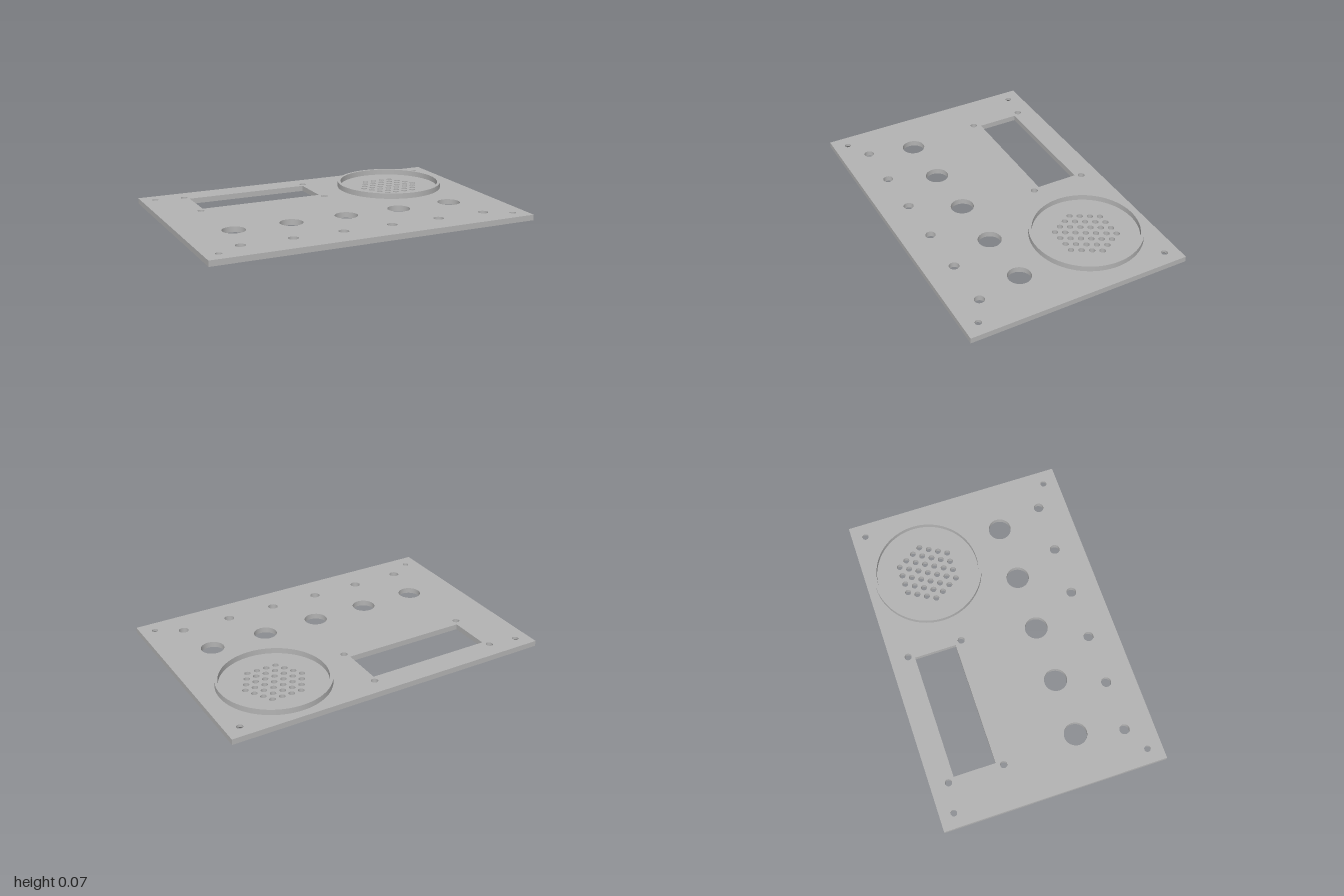
import * as THREE from 'three';
import { mergeGeometries } from 'three/addons/utils/BufferGeometryUtils.js';

const HALF_X = 1, HALF_Z = 0.677, THICK = 0.034, RING_TOP = 0.068;
const SPEAKER = { x: 0.558, z: -0.294 };
const WINDOW = { x0: -0.714, x1: 0.05, z0: -0.53, z1: -0.275 };

// All round holes: position, radius and optional countersink radius underneath
function listHoles() {
  const holes = [];
  const add = (x, z, r, sink = r) => holes.push({ x, z, r, sink });
  // corner mounting holes
  for (const x of [-0.914, 0.914]) for (const z of [-0.592, 0.588]) add(x, z, 0.019, 0.036);
  // display screw holes
  for (const x of [-0.738, 0.068]) for (const z of [-0.568, -0.234]) add(x, z, 0.021);
  // knob row and switch row
  for (let i = 0; i < 5; i++) add((i - 2) * 0.349, 0.222, 0.069);
  for (let i = 0; i < 6; i++) add((i - 2.5) * 0.305, 0.503, 0.03);
  // hexagonal speaker grille
  for (let row = -3; row <= 3; row++) {
    const n = 7 - Math.abs(row);
    for (let i = 0; i < n; i++) {
      add(SPEAKER.x + (i - (n - 1) / 2) * 0.0594, SPEAKER.z + row * 0.0513, 0.018);
    }
  }
  return holes;
}

// Flat face of the panel; up = true for the top, false for the underside
function panelFace(holes, up) {
  const s = up ? -1 : 1;
  const rect = (p, x0, x1, z0, z1) => {
    p.moveTo(x0, s * z0);
    p.lineTo(x1, s * z0);
    p.lineTo(x1, s * z1);
    p.lineTo(x0, s * z1);
    p.closePath();
    return p;
  };
  const shape = rect(new THREE.Shape(), -HALF_X, HALF_X, -HALF_Z, HALF_Z);
  shape.holes.push(rect(new THREE.Path(), WINDOW.x0, WINDOW.x1, WINDOW.z0, WINDOW.z1));
  for (const h of holes) {
    shape.holes.push(new THREE.Path().absarc(h.x, s * h.z, up ? h.r : h.sink, 0, Math.PI * 2));
  }
  return new THREE.ShapeGeometry(shape, 16).rotateX(s * Math.PI / 2).translate(0, up ? THICK : 0, 0);
}

// Four upright walls round a rectangle, facing outwards or inwards
function rectWalls(x0, x1, z0, z1, outward) {
  const w = x1 - x0, d = z1 - z0, cx = (x0 + x1) / 2, cz = (z0 + z1) / 2;
  return [0, 1, 2, 3].map((i) => {
    const along = i % 2 ? d : w, away = i % 2 ? w : d;
    const wall = new THREE.PlaneGeometry(along, THICK);
    if (!outward) wall.rotateY(Math.PI);
    return wall.translate(0, THICK / 2, away / 2).rotateY(i * Math.PI / 2).translate(cx, 0, cz);
  });
}

const turned = (points, x, z, segments) =>
  new THREE.LatheGeometry(points.map(([r, y]) => new THREE.Vector2(r, y)), segments).translate(x, 0, z);

export function createModel() {
  const group = new THREE.Group();
  const grey = new THREE.MeshStandardMaterial({ color: 0xb3b3b3 });
  grey.name = 'panelGrey';
  const add = (name, parts) => {
    const mesh = new THREE.Mesh(mergeGeometries(parts), grey);
    mesh.name = name;
    group.add(mesh);
  };

  const holes = listHoles();
  add('panel', [
    panelFace(holes, true),
    panelFace(holes, false),
    ...rectWalls(-HALF_X, HALF_X, -HALF_Z, HALF_Z, true),
  ]);
  add('displayCutout', rectWalls(WINDOW.x0, WINDOW.x1, WINDOW.z0, WINDOW.z1, false));

  // bores, with a cone below where the hole is countersunk
  const bores = [];
  for (const { x, z, r, sink } of holes) {
    const mid = sink - r;
    bores.push(turned([[r, THICK], [r, mid]], x, z, 32));
    if (mid > 0) bores.push(turned([[r, mid], [sink, 0]], x, z, 32));
  }
  add('holeWalls', bores);

  // raised ring round the speaker grille
  const outer = 0.332, inner = 0.313;
  const ring = (points) => turned(points, SPEAKER.x, SPEAKER.z, 96);
  add('speakerRing', [
    ring([[outer, THICK], [outer, RING_TOP]]),
    ring([[outer, RING_TOP], [inner, RING_TOP]]),
    ring([[inner, RING_TOP], [inner, THICK]]),
  ]);
  return group;
}
